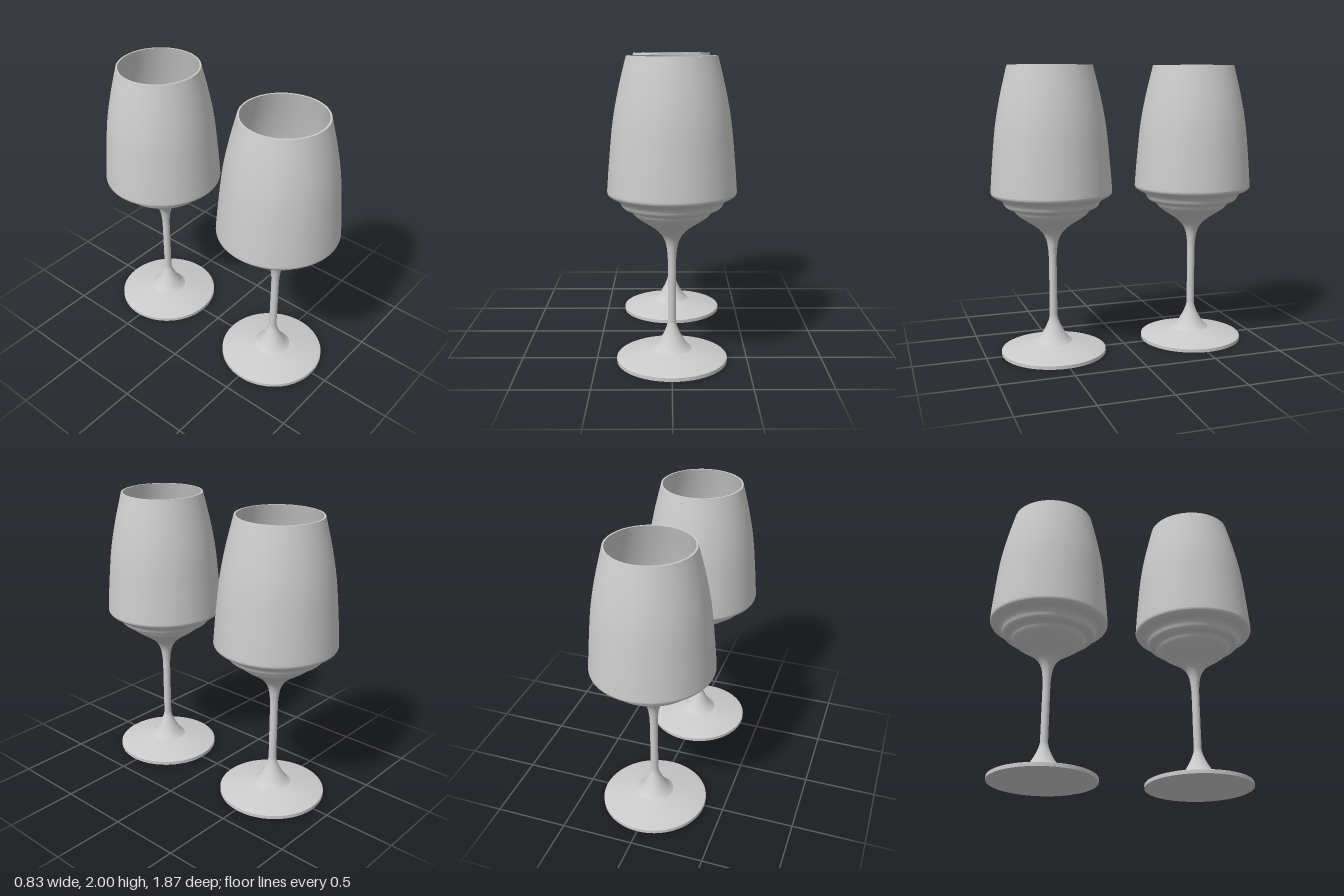
import * as THREE from 'three';

const SEGMENTS = 96;
const material = new THREE.MeshStandardMaterial({ color: 0xcccccc, side: THREE.DoubleSide });

const toPoints = (pairs) => pairs.map(([r, y]) => new THREE.Vector2(r, y));
const smooth = (pairs, n) => new THREE.SplineCurve(toPoints(pairs)).getPoints(n);

// Revolve one profile section; separate sections keep the edges between them sharp
function turned(name, points) {
  const mesh = new THREE.Mesh(new THREE.LatheGeometry(points, SEGMENTS), material);
  mesh.name = name;
  return mesh;
}

function createGlass() {
  const glass = new THREE.Group();

  // Foot: flat underside, thin edge, gently sloping top
  glass.add(turned('footUnderside', toPoints([[0, 0], [0.366, 0]])));
  glass.add(turned('footEdge', toPoints([[0.366, 0], [0.366, 0.024]])));
  glass.add(turned('footTop', smooth([[0.366, 0.024], [0.35, 0.031], [0.25, 0.055], [0.13, 0.082]], 12)));

  // Stem: flares into the foot below and into the bowl above
  glass.add(turned('stem', smooth([
    [0.13, 0.082], [0.105, 0.105], [0.075, 0.148], [0.048, 0.2], [0.03, 0.25],
    [0.027, 0.3], [0.027, 0.48], [0.027, 0.66], [0.031, 0.74], [0.044, 0.81],
    [0.075, 0.865], [0.125, 0.91], [0.19, 0.953], [0.24, 0.99], [0.262, 1.02],
  ], 70)));

  // Stepped underside of the bowl
  glass.add(turned('bowlSteps', smooth([
    [0.262, 1.02], [0.28, 1.031], [0.303, 1.037], [0.32, 1.05],
    [0.333, 1.075], [0.352, 1.096], [0.385, 1.112], [0.409, 1.129], [0.415, 1.145],
  ], 40)));

  // Bowl wall: widest low down, narrowing to the rim
  const wall = [[0.415, 1.145], [0.412, 1.19], [0.4, 1.34], [0.375, 1.587], [0.338, 1.79], [0.287, 2]];
  glass.add(turned('bowlOutside', smooth(wall, 32)));
  glass.add(turned('rim', toPoints([[0.287, 2], [0.275, 2]])));
  const inner = wall.map(([r, y]) => [r - 0.012, y]).reverse();
  glass.add(turned('bowlInside', smooth(inner, 32)));
  glass.add(turned('bowlFloor', toPoints([[0.403, 1.145], [0, 1.145]])));

  return glass;
}

export function createModel() {
  const model = new THREE.Group();
  model.name = 'pairOfGlasses';
  for (const side of [1, -1]) {
    const glass = createGlass();
    glass.name = side > 0 ? 'frontGlass' : 'backGlass';
    glass.position.z = side * 0.521;
    model.add(glass);
  }
  return model;
}
